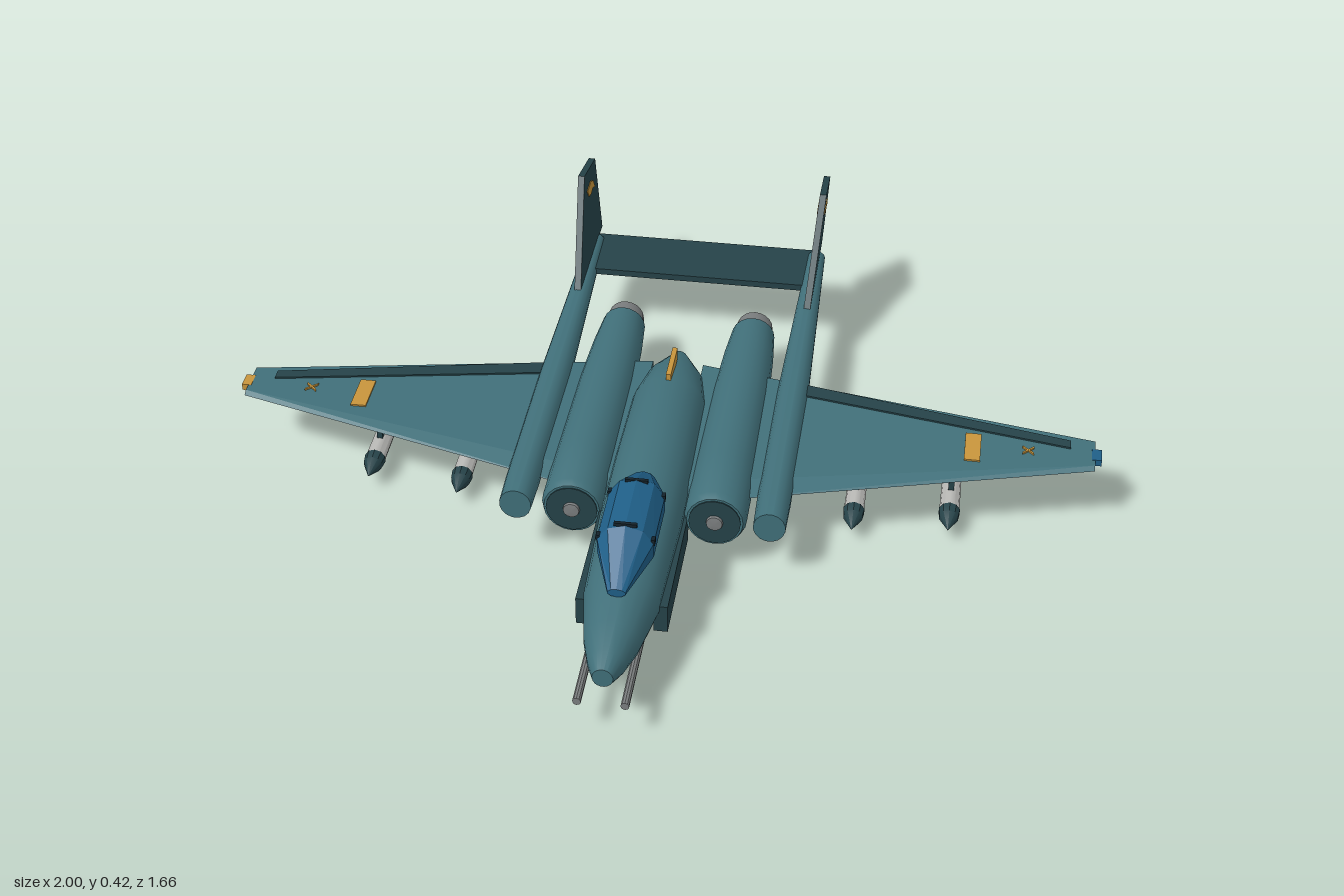
import * as THREE from 'three';
import { toCreasedNormals } from 'three/addons/utils/BufferGeometryUtils.js';

const mat = (name, color) => new THREE.MeshStandardMaterial({ name, color });

// Closed skin through matching loops of [x, y, z]; winding is corrected by signed volume.
function loft(loops, crease = 0) {
  const tris = [], n = loops[0].length;
  for (let i = 0; i + 1 < loops.length; i++) {
    for (let j = 0; j < n; j++) {
      const k = (j + 1) % n, a = loops[i], b = loops[i + 1];
      tris.push([a[j], a[k], b[k]], [a[j], b[k], b[j]]);
    }
  }
  const cap = (loop, flip) => {
    const c = [0, 1, 2].map(d => loop.reduce((s, p) => s + p[d], 0) / n);
    loop.forEach((p, j) => {
      const q = loop[(j + 1) % n];
      tris.push(flip ? [c, q, p] : [c, p, q]);
    });
  };
  cap(loops[0], true);
  cap(loops[loops.length - 1], false);
  const v = p => new THREE.Vector3(...p);
  const vol = tris.reduce((s, [a, b, c]) => s + v(a).dot(v(b).cross(v(c))), 0);
  const pos = tris.flatMap(([a, b, c]) => (vol < 0 ? [a, c, b] : [a, b, c])).flat();
  const g = new THREE.BufferGeometry();
  g.setAttribute('position', new THREE.Float32BufferAttribute(pos, 3));
  if (crease) return toCreasedNormals(g, crease);
  g.computeVertexNormals();
  return g;
}

// Elliptical cross-section at z.
const ring = (z, cy, rx, ry, n) => Array.from({ length: n }, (_, i) => {
  const a = (i + 0.5) / n * Math.PI * 2;
  return [Math.cos(a) * rx, cy + Math.sin(a) * ry, z];
});

// Turned body along z from [radius, z] points, rear to front.
const turned = (pts, n = 20) => toCreasedNormals(
  new THREE.LatheGeometry(pts.map(p => new THREE.Vector2(...p)), n).rotateX(Math.PI / 2), 0.6);

export function createModel() {
  const teal = mat('teal paint', 0x41707a), dark = mat('dark teal trim', 0x264349);
  const blue = mat('blue glass', 0x1f5f88), gold = mat('gold marking', 0xc8953c);
  const grey = mat('nozzle grey', 0x7c7f80), pale = mat('pale grey', 0xb9b9b6);
  const black = mat('near black', 0x14222a);

  const model = new THREE.Group();
  const add = (name, geo, m, x = 0, y = 0, z = 0, parent = model) => {
    const mesh = new THREE.Mesh(geo, m);
    mesh.name = name;
    mesh.position.set(x, y, z);
    parent.add(mesh);
    return mesh;
  };
  const box = (name, m, w, h, d, x, y, z, parent) =>
    add(name, new THREE.BoxGeometry(w, h, d), m, x, y, z, parent);

  // Fuselage and canopy
  add('fuselage', loft([
    [0.805, 0.146, 0.022, 0.023], [0.76, 0.143, 0.04, 0.042], [0.69, 0.141, 0.06, 0.06],
    [0.56, 0.141, 0.083, 0.077], [0.3, 0.145, 0.092, 0.09], [0.1, 0.145, 0.092, 0.094],
    [-0.13, 0.147, 0.088, 0.088], [-0.23, 0.15, 0.068, 0.065], [-0.31, 0.16, 0.02, 0.025],
  ].map(s => ring(...s, 20)), 0.6), teal);
  add('canopy', loft([
    [0.625, 0.22, 0.02, 0.01], [0.505, 0.245, 0.064, 0.058],
    [0.345, 0.245, 0.064, 0.062], [0.255, 0.235, 0.026, 0.02],
  ].map(s => ring(...s, 10))), blue);
  for (const z of [0.5, 0.35]) {
    box('canopyLatch', black, 0.05, 0.008, 0.008, 0, 0.303, z);
    for (const s of [-1, 1]) box('canopyRivet', black, 0.008, 0.014, 0.014, s * 0.059, 0.265, z);
  }
  box('dorsalBlade', gold, 0.012, 0.03, 0.11, 0, 0.235, -0.175);
  add('chinFairing', loft([
    [0.7, 0.07, 0.012, 0.008], [0.65, 0.065, 0.03, 0.02], [0.57, 0.07, 0.03, 0.012],
  ].map(s => ring(...s, 8))), dark);
  box('tailplane', dark, 0.56, 0.016, 0.165, 0, 0.178, -0.718);

  // Wing planform: edges, mid height and half thickness by span
  const lead = x => 0.25 - 0.2525 * x, trail = x => -0.295 + 0.197 * x;
  const mid = x => 0.153 + 0.02 * x, half = x => 0.015 - 0.008 * x;
  const wingLoop = (x, s) => {
    const l = lead(x), t = trail(x), b = l + (t - l) * 0.12, y = mid(x), h = half(x);
    return [[s * x, y, l], [s * x, y + h, b], [s * x, y + h, t], [s * x, y - h, t], [s * x, y - h, b]];
  };
  // Thin plate on the upper skin between two spans, each with its own z range
  const wingPlate = (name, m, s, x0, zs0, x1, zs1) => {
    const end = (x, [a, b]) => {
      const y = mid(x) + half(x);
      return [[s * x, y - 0.002, a], [s * x, y + 0.004, a], [s * x, y + 0.004, b], [s * x, y - 0.002, b]];
    };
    add(name, loft([end(x0, zs0), end(x1, zs1)]), m);
  };

  // Underwing store: pointed body, tail cross and pylon
  const store = (x, z) => {
    const g = new THREE.Group();
    g.name = 'underwingStore';
    g.position.set(x, 0.052, z);
    add('storeBody', turned([[0, -0.16], [0.021, -0.16], [0.023, 0.085], [0, 0.085]], 12), pale, 0, 0, 0, g);
    add('storeNose', turned([[0, 0.08], [0.025, 0.08], [0.022, 0.105], [0, 0.15]], 10), dark, 0, 0, 0, g);
    box('storeFin', black, 0.096, 0.006, 0.06, 0, 0, -0.13, g);
    box('storeFin', black, 0.006, 0.096, 0.085, 0, 0, -0.105, g);
    box('pylon', dark, 0.013, 0.092, 0.16, 0, 0.066, -0.05, g);
    model.add(g);
  };

  for (const s of [-1, 1]) {
    // Wing with trailing flap, markings and tip lamp
    add('wing', loft([wingLoop(0.06, s), wingLoop(0.985, s)]), teal);
    wingPlate('flap', dark, s, 0.31, [-0.188, -0.23], 0.93, [-0.065, -0.092]);
    wingPlate('wingBand', gold, s, 0.692, [-0.01, 0.09].map(z => z - 0.001 - 0.0), 0.728, [-0.01, 0.09]);
    wingPlate('crossMark', gold, s, 0.822, [-0.06, -0.054], 0.848, [-0.036, -0.03]);
    wingPlate('crossMark', gold, s, 0.822, [-0.036, -0.03], 0.848, [-0.06, -0.054]);
    box('tipLamp', s > 0 ? blue : gold, 0.022, 0.016, 0.04, s * 0.989, mid(0.985), -0.05);

    // Engine pod
    add('enginePod', turned([[0, -0.46], [0.052, -0.46], [0.06, -0.36], [0.067, -0.2],
      [0.07, 0.1], [0.07, 0.25], [0.063, 0.268], [0, 0.268]]), teal, s * 0.16, 0.143, 0);
    add('nozzle', turned([[0, -0.48], [0.038, -0.48], [0.043, -0.5], [0.05, -0.455], [0, -0.455]]),
      grey, s * 0.16, 0.143, 0);
    add('nozzleCore', turned([[0, -0.484], [0.037, -0.484], [0.037, -0.478]]), black, s * 0.16, 0.143, 0);
    add('intakeFace', turned([[0.058, 0.266], [0.058, 0.271], [0, 0.271]]), dark, s * 0.16, 0.143, 0);
    add('intakeHub', turned([[0.02, 0.268], [0.018, 0.277], [0, 0.28]], 12), grey, s * 0.16, 0.143, 0);

    // Tail boom, rising slightly to the rear
    add('tailBoom', loft([[0.29, 0.157, 0.036, 0.038], [0.2, 0.157, 0.038, 0.04],
      [-0.2, 0.162, 0.037, 0.037], [-0.78, 0.178, 0.022, 0.02],
    ].map(r => ring(...r, 16)), 0.6), teal, s * 0.283);

    // Canted tail fin, with a marking showing on both faces
    const slab = (pts, t) => loft([-t, t].map(d =>
      pts.map(([z, y]) => [s * (0.284 + (y - 0.19) * 0.068 + d), y, z])));
    add('tailFin', slab([[-0.51, 0.19], [-0.68, 0.425], [-0.82, 0.395], [-0.83, 0.19]], 0.008), dark);
    add('finMarking', slab([[-0.69, 0.375], [-0.74, 0.377], [-0.768, 0.362], [-0.78, 0.338],
      [-0.755, 0.35], [-0.73, 0.346], [-0.705, 0.353]], 0.01), gold);

    // Nose gun and fuselage side panel
    add('gunBarrel', turned([[0, 0.58], [0.009, 0.58], [0.009, 0.83], [0, 0.83]], 10), grey, s * 0.05, 0.098, 0);
    box('sidePanel', dark, 0.03, 0.068, 0.315, s * 0.084, 0.107, 0.407);

    store(s * 0.455, -0.01);
    store(s * 0.67, -0.04);
  }

  // Wing bands sit slightly aft of mid chord
  model.children.filter(c => c.name === 'wingBand').forEach(c => { c.position.z = -0.08; });
  return model;
}
